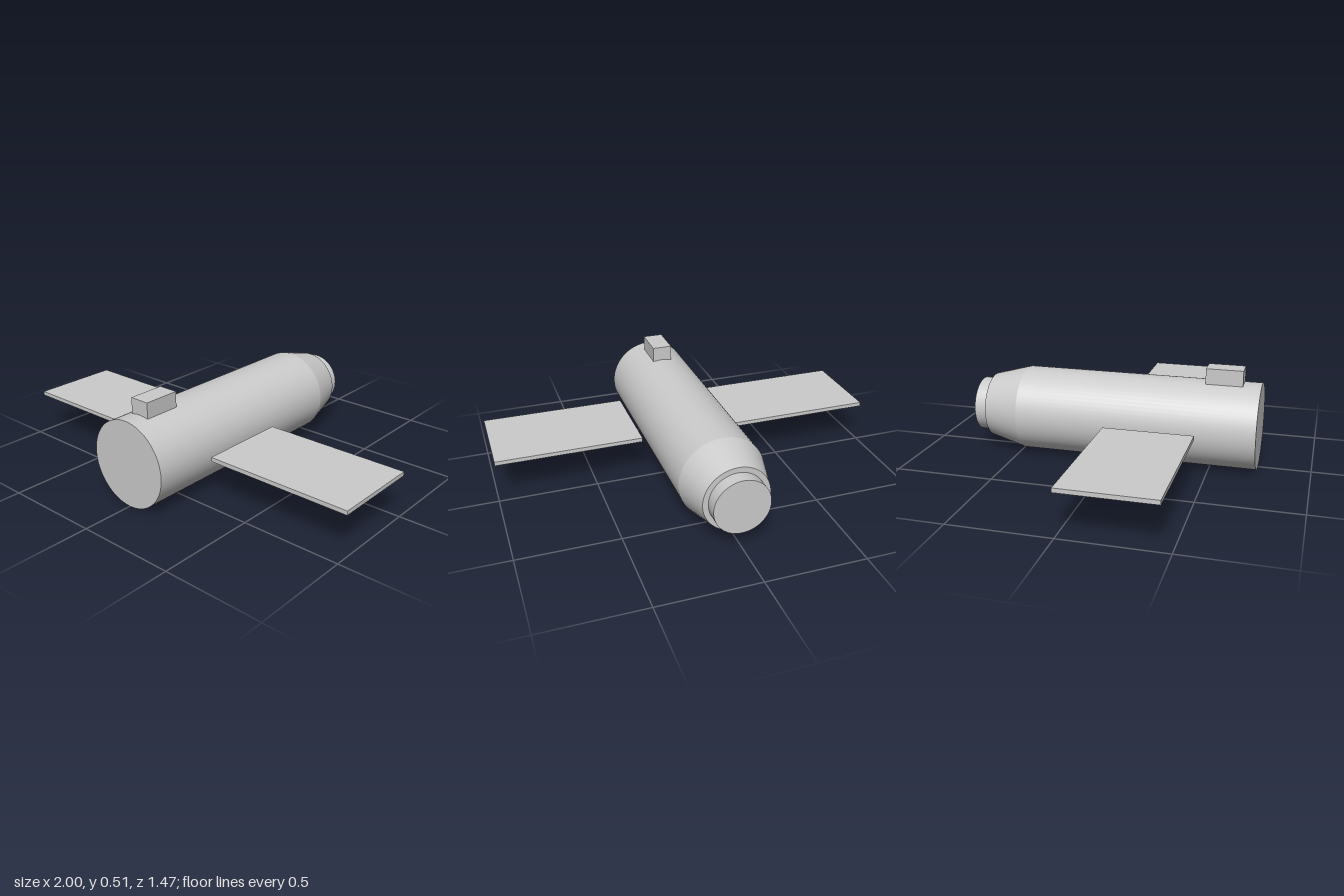
import * as THREE from 'three';

export function createModel() {
  const model = new THREE.Group();
  const material = new THREE.MeshStandardMaterial({ color: 0xcccccc });
  const axisY = 0.217;

  const add = (name, geometry, x, y, z) => {
    const mesh = new THREE.Mesh(geometry, material);
    mesh.name = name;
    mesh.position.set(x, y, z);
    model.add(mesh);
  };

  // Round section along z, from its front end to its back end
  const section = (name, frontZ, backZ, frontR, backR) => {
    const geometry = new THREE.CylinderGeometry(frontR, backR, frontZ - backZ, 64);
    geometry.rotateX(Math.PI / 2);
    add(name, geometry, 0, axisY, (frontZ + backZ) / 2);
  };

  // Hull, tapered tail and rear collar
  section('body', 0.737, -0.479, 0.217, 0.217);
  section('taperedTail', -0.479, -0.668, 0.217, 0.166);
  section('rearCollar', -0.668, -0.737, 0.139, 0.139);

  // Equipment box on top, near the front
  add('topBox', new THREE.BoxGeometry(0.102, 0.079, 0.184), 0, 0.468, 0.556);

  // Flat side panels, standing clear of the hull
  for (const side of [1, -1]) {
    add(side > 0 ? 'leftPanel' : 'rightPanel',
      new THREE.BoxGeometry(0.746, 0.021, 0.455), side * 0.627, axisY + 0.001, 0.222);
  }

  return model;
}
